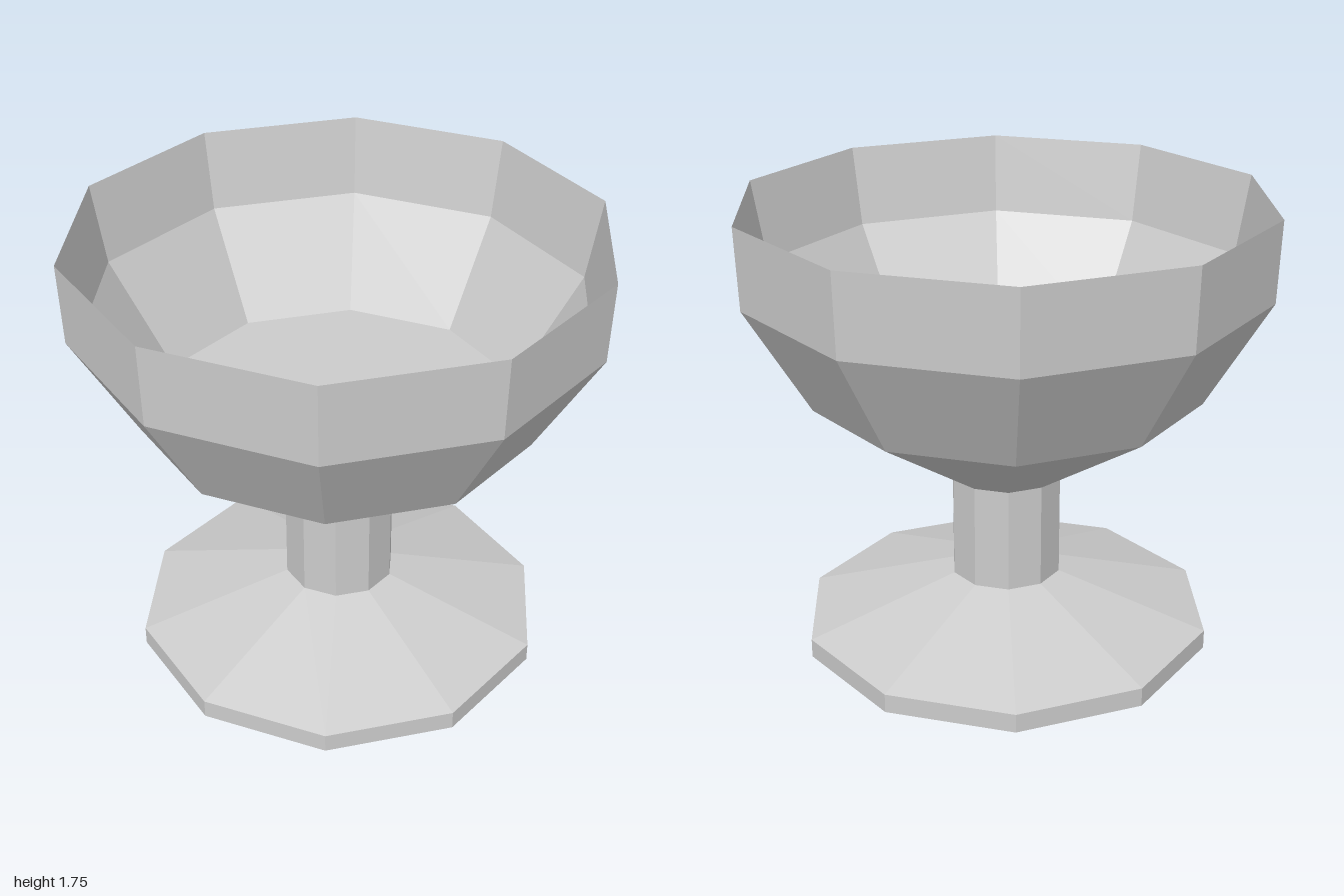
import * as THREE from 'three';

const SIDES = 10;
const TURN = THREE.MathUtils.degToRad(10.9); // the facets sit slightly off the axes

// One ten-sided faceted part from a [radius, height] profile
function facetedPart(name, profile) {
  const points = profile.map(([r, y]) => new THREE.Vector2(r, y));
  const geometry = new THREE.LatheGeometry(points, SIDES, TURN);
  const material = new THREE.MeshStandardMaterial({
    color: 0xcccccc, flatShading: true, side: THREE.DoubleSide,
  });
  const mesh = new THREE.Mesh(geometry, material);
  mesh.name = name;
  return mesh;
}

export function createModel() {
  const goblet = new THREE.Group();
  goblet.name = 'goblet';

  // Foot: closed underside, short rim, sloping top
  goblet.add(facetedPart('foot', [[0, 0], [0.806, 0], [0.806, 0.075], [0.217, 0.26]]));

  // Stem: straight column
  goblet.add(facetedPart('stem', [[0.217, 0.26], [0.217, 0.675]]));

  // Bowl: outer wall up to a sharp lip, then inner wall down to a flat floor
  goblet.add(facetedPart('bowl', [
    [0.217, 0.675], [0.755, 1.032], [0.997, 1.445], [1.007, 1.755],
    [0.953, 1.445], [0.702, 1.032], [0, 1.032],
  ]));

  return goblet;
}
